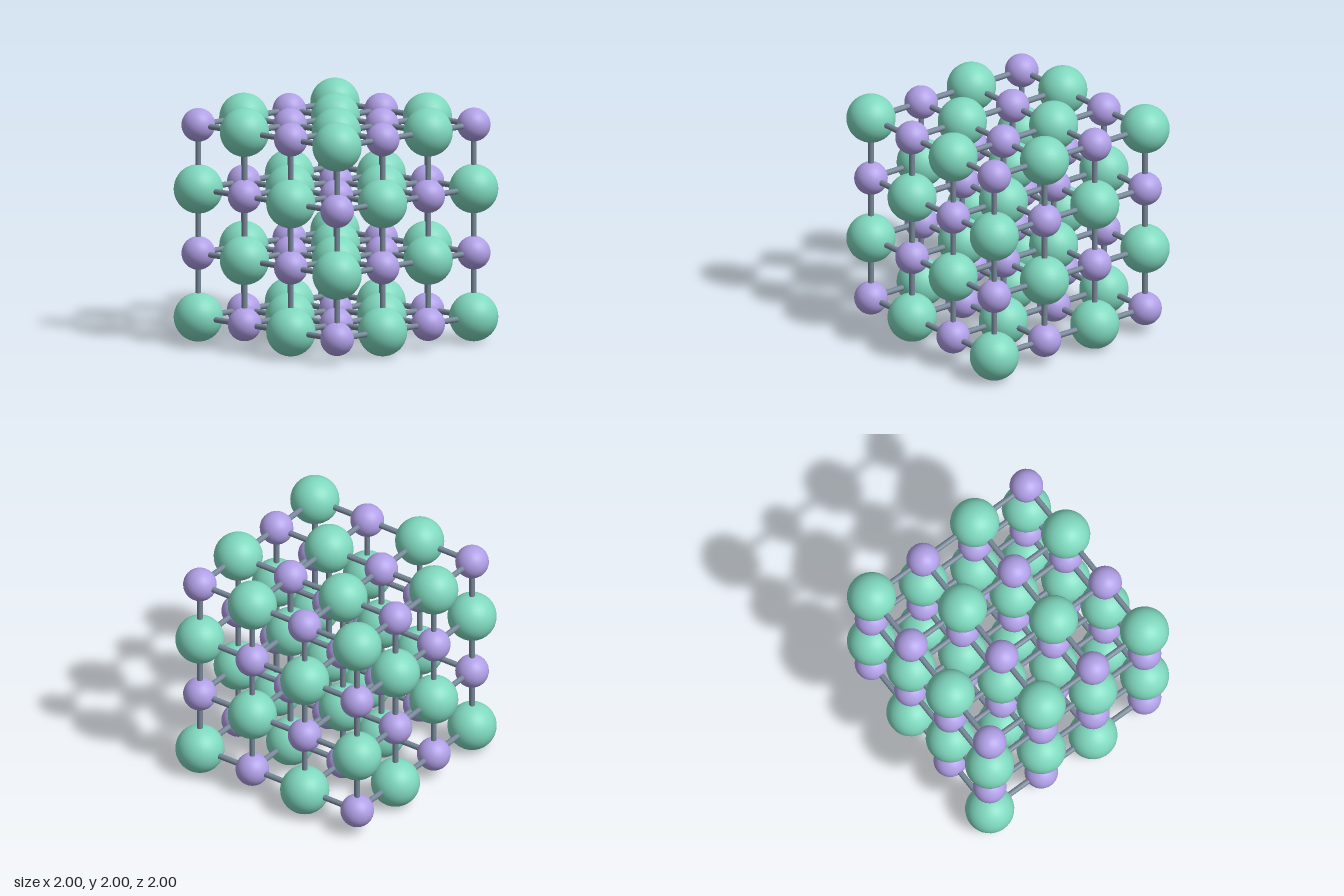
import * as THREE from 'three';

const COUNT = 4;                 // atoms along each edge of the lattice
const STEP = 2 / 3.76;           // distance between neighbouring atoms
const LARGE_R = 0.38 * STEP;
const SMALL_R = 0.26 * STEP;
const BOND_R = 0.045 * STEP;

// Lattice indices to a position, resting on y = 0
function site(i, j, k) {
  const mid = (COUNT - 1) / 2;
  return new THREE.Vector3((i - mid) * STEP, j * STEP + LARGE_R, (k - mid) * STEP);
}

export function createModel() {
  const model = new THREE.Group();
  model.name = 'crystalLattice';

  const largeMat = new THREE.MeshStandardMaterial({ color: 0x7fd8be });
  const smallMat = new THREE.MeshStandardMaterial({ color: 0xb09fe6 });
  const bondMat = new THREE.MeshStandardMaterial({ color: 0x778899 });

  const largeGeo = new THREE.SphereGeometry(LARGE_R, 32, 20);
  const smallGeo = new THREE.SphereGeometry(SMALL_R, 32, 20);
  const bondGeo = new THREE.CylinderGeometry(BOND_R, BOND_R, STEP, 12, 1, true);

  const largeAtoms = new THREE.Group();
  largeAtoms.name = 'largeAtoms';
  const smallAtoms = new THREE.Group();
  smallAtoms.name = 'smallAtoms';
  const bonds = new THREE.Group();
  bonds.name = 'bonds';
  model.add(largeAtoms, smallAtoms, bonds);

  const up = new THREE.Vector3(0, 1, 0);
  const directions = [[1, 0, 0], [0, 1, 0], [0, 0, 1]];

  for (let i = 0; i < COUNT; i++) {
    for (let j = 0; j < COUNT; j++) {
      for (let k = 0; k < COUNT; k++) {
        const here = site(i, j, k);

        // Atoms alternate between the two kinds in all three directions
        const isLarge = (i + j + k) % 2 === 0;
        const atom = new THREE.Mesh(isLarge ? largeGeo : smallGeo, isLarge ? largeMat : smallMat);
        atom.name = isLarge ? 'largeAtom' : 'smallAtom';
        atom.position.copy(here);
        (isLarge ? largeAtoms : smallAtoms).add(atom);

        // A bond to the next atom along each axis
        for (const [dx, dy, dz] of directions) {
          if (Math.max(i + dx, j + dy, k + dz) >= COUNT) {
            if (i + dx >= COUNT || j + dy >= COUNT || k + dz >= COUNT) {
              const index = dx ? i : dy ? j : k;
              if (index === COUNT - 1) continue;
            }
          }
          const bond = new THREE.Mesh(bondGeo, bondMat);
          bond.name = 'bond';
          bond.position.copy(here).lerp(site(i + dx, j + dy, k + dz), 0.5);
          bond.quaternion.setFromUnitVectors(up, new THREE.Vector3(dx, dy, dz));
          bonds.add(bond);
        }
      }
    }
  }
  return model;
}
